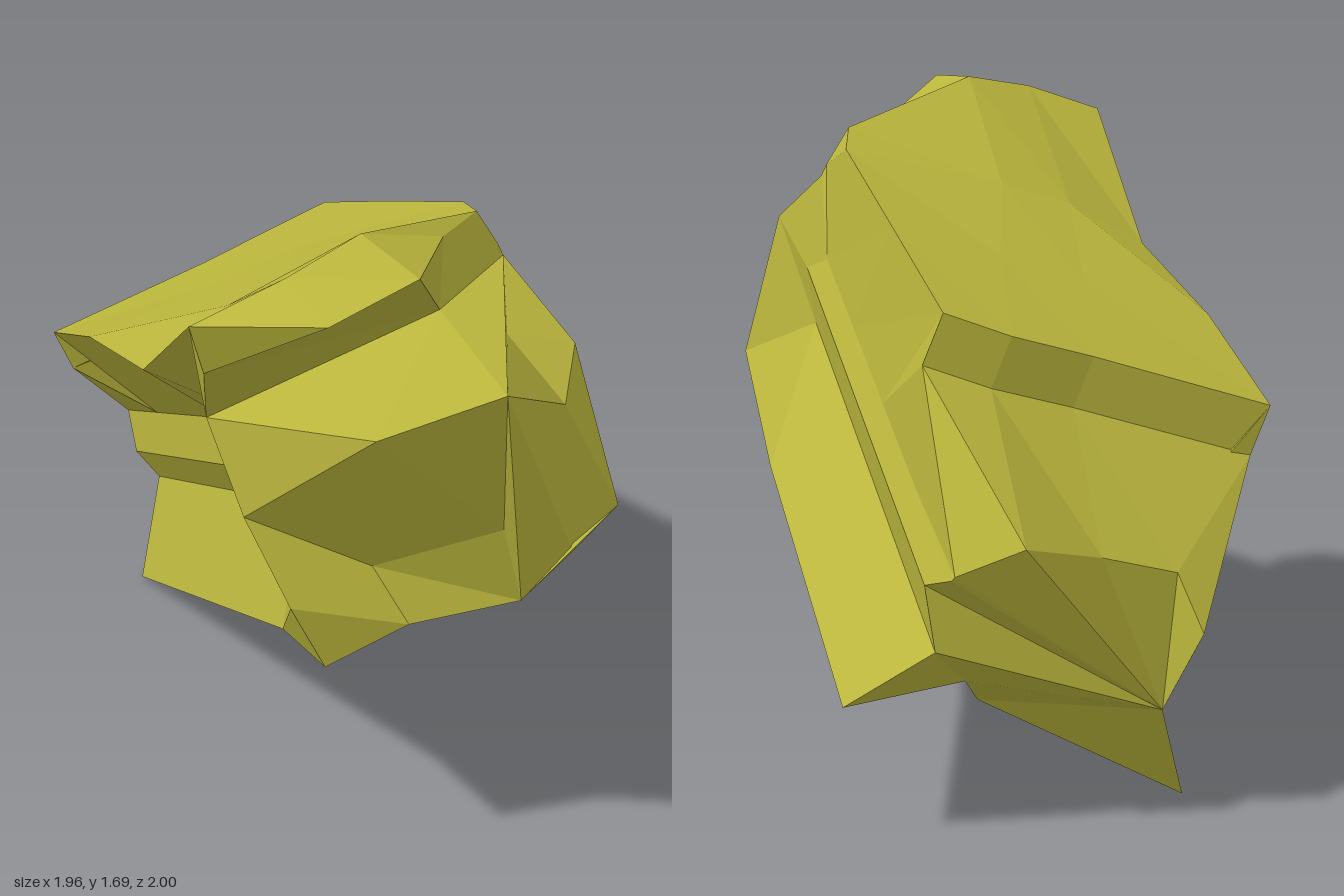
import * as THREE from 'three';

const along = (p, dir, t) => p.map((v, i) => v + dir[i] * t);

// Ridges and grooves share one sweep, then bend to their own high point
const sweep = [1.05, 0.58, 0.79];
const rail = (low, high, reach = 1) =>
  [0, 0.25, 0.5, 0.75, 1].map((t) => along(low, sweep, t * reach)).concat([high]);

// Slab rails run over an overhanging lip near the low end
const slabRail = (low, lip, ...rest) => [low, along(lip, [0.03, -0.12, -0.04], 1), lip, ...rest];

export function createModel() {
  const group = new THREE.Group();
  const olive = new THREE.MeshStandardMaterial({ color: 0xbab53c, side: THREE.DoubleSide, flatShading: true });
  olive.name = 'olive stone';

  const addPart = (name, faces) => {
    const pos = [];
    for (const f of faces) {
      for (let i = 1; i < f.length - 1; i++) pos.push(...f[0], ...f[i], ...f[i + 1]);
    }
    const geo = new THREE.BufferGeometry();
    geo.setAttribute('position', new THREE.Float32BufferAttribute(pos, 3));
    geo.computeVertexNormals();
    const mesh = new THREE.Mesh(geo, olive);
    mesh.name = name;
    group.add(mesh);
  };

  // Upper slab, front edge to back edge
  const slab = [
    slabRail([-0.9, 0.6, -0.4], [-0.88, 0.93, 0.04], [-0.54, 1.1, 0.3], [-0.12, 1.24, 0.62], [0.3, 1.6, 1]),
    slabRail([-0.8, 0.65, -0.56], [-0.62, 1.07, -0.34], [-0.33, 1.2, 0.03], [-0.01, 1.36, 0.42], [0.42, 1.67, 0.81]),
    slabRail([-0.77, 0.71, -0.81], [-0.52, 1.13, -0.53], [-0.2, 1.27, -0.15], [0.09, 1.42, 0.24], [0.46, 1.7, 0.57]),
    slabRail([-0.65, 0.65, -0.91], [-0.42, 1.19, -0.66], [-0.05, 1.355, -0.4], [0.33, 1.52, -0.13], [0.45, 1.57, 0.02]),
  ];
  // Back groove and sharp flange
  const backSide = [
    rail([-0.64, 0.64, -0.91], [0.48, 1.47, -0.04]),
    rail([-0.54, 0.61, -0.88], [0.49, 1.44, -0.05]),
    rail([-0.57, 0.46, -0.88], [0.75, 1.31, 0.06]),
    rail([-0.4, 0.33, -1], [0.89, 0.91, 0.06], 0.67),
  ];
  // Narrow ledge along the underside
  const ledge = [
    [[-0.53, 0.35, -0.72], [-0.18, 0.36, -0.34], [0.05, 0.47, -0.2], [0.28, 0.58, -0.07], [0.6, 0.71, 0.24], [0.88, 0.88, 0.54]],
    [[-0.42, 0.24, -0.53], [-0.37, 0.35, -0.15], [-0.17, 0.43, -0.06], [0.04, 0.51, 0.04], [0.47, 0.62, 0.33], [0.62, 0.76, 0.6]],
  ];
  // Front keel, step and recess
  const frontSide = [
    rail([-0.82, 0.01, -0.24], [0.47, 0.66, 0.73]),
    rail([-0.87, 0.27, -0.41], [0.42, 0.84, 0.8]),
    rail([-0.9, 0.38, -0.34], [0.3, 1.05, 0.81], 0.95),
    rail([-0.98, 0.47, -0.41], [0.18, 1.26, 0.78]),
  ];
  const rails = [...slab, ...backSide, ...ledge, ...frontSide];

  // Long sides, skinned between neighbouring rails
  addPart('shardBody', rails.flatMap((a, i) => {
    const b = rails[(i + 1) % rails.length];
    return [0, 1, 2, 3, 4].map((s) => [a[s], a[s + 1], b[s + 1], b[s]]);
  }));

  // Low broken end
  const c = rails.map((r) => r[0]);
  addPart('lowEnd', [
    [c[11], c[12], c[13], ...c.slice(0, 7), ...c.slice(8, 11)],
    [c[6], c[7], c[8]],
  ]);

  // Lug below the low end of the ledge
  const lugBack = [-0.27, 0.26, -0.39], lugFront = [-0.39, 0.24, -0.2];
  addPart('undersideLug', [
    [ledge[0][0], ledge[0][1], lugBack, c[9]],
    [ledge[0][1], ledge[1][1], lugFront, lugBack],
    [c[9], lugBack, lugFront, frontSide[0][1], c[10]],
    [ledge[1][1], frontSide[0][1], lugFront],
  ]);

  // High broken end: slab tip, notch, pointed flange and lower facets
  const e = rails.map((r) => r[5]);
  const slabA = [0.6, 1.64, 0.92], slabB = [0.7, 1.7, 0.72], ear = [0.5, 1.6, 0.27];
  const notch = [0.3, 1.47, 0.95], inner = [0.58, 1.49, 0.42];
  const tip = [0.98, 1.55, 0.84], brow = [0.7, 1.39, 0.89];
  const cheek = [0.87, 1.1, 0.62], dent = [0.53, 0.9, 0.62];
  const rim = [0.83, 1.25, 0.26], saddle = [0.65, 1.37, 0.22], heel = [0.87, 0.87, 0.26];
  addPart('slabTip', [
    [e[1], e[0], slabA, slabB, e[2]],
    [notch, slabA, e[0]],
    [notch, inner, slabB, slabA],
    [e[2], slabB, ear],
    [slabB, inner, ear],
    [e[2], ear, e[3]],
    [ear, inner, e[5], e[4], e[3]],
    [e[0], e[13], notch],
    [notch, e[13], inner],
  ]);
  addPart('pointedFlange', [
    [inner, e[13], brow, tip],
    [e[13], e[12], brow],
    [e[12], dent, brow],
    [brow, dent, cheek, tip],
    [tip, cheek, e[8], heel, rim],
    [rim, heel, e[7], e[6]],
    [tip, rim, saddle],
    [rim, e[6], saddle],
    [tip, saddle, e[5], inner],
    [saddle, e[6], e[5]],
  ]);
  addPart('lowerFacets', [
    [e[12], e[11], dent],
    [dent, e[9], e[8], cheek],
    [e[11], e[10], e[9], dent],
    [heel, e[8], e[7]],
  ]);
  return group;
}
